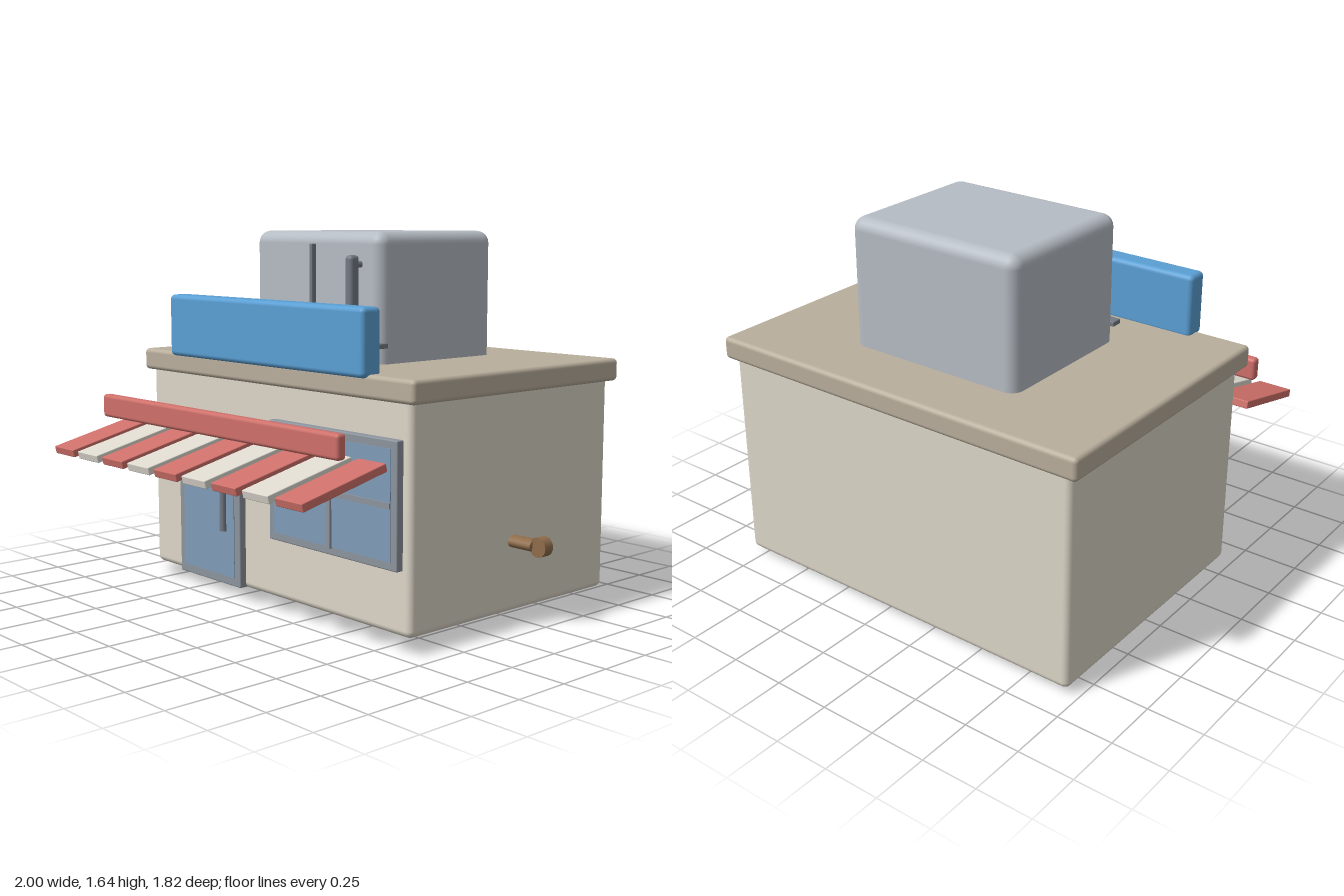
import * as THREE from 'three';
import { RoundedBoxGeometry } from 'three/addons/geometries/RoundedBoxGeometry.js';

const paint = (color) => new THREE.MeshStandardMaterial({ color });

export function createModel() {
  const model = new THREE.Group();
  const wall = paint(0xddd6c8), roofTan = paint(0xb9ae9c), steel = paint(0xb6bcc4);
  const blue = paint(0x5a9fd4), red = paint(0xcf706a), cream = paint(0xdedad0);
  const brown = paint(0x8f6d4c), darkSteel = paint(0x747a83), frame = paint(0x8d949e), glass = paint(0x7f9db8);

  const add = (name, geometry, material, x = 0, y = 0, z = 0, parent = model) => {
    const mesh = new THREE.Mesh(geometry, material);
    mesh.name = name;
    mesh.position.set(x, y, z);
    parent.add(mesh);
    return mesh;
  };

  // Box given by its limits on each axis, with optional rounded edges
  const box = (name, material, [x0, x1], [y0, y1], [z0, z1], radius = 0, parent = model) => {
    const size = [x1 - x0, y1 - y0, z1 - z0];
    const geometry = radius ? new RoundedBoxGeometry(...size, 4, radius) : new THREE.BoxGeometry(...size);
    return add(name, geometry, material, (x0 + x1) / 2, (y0 + y1) / 2, (z0 + z1) / 2, parent);
  };

  // Building and roof
  box('walls', wall, [-0.96, 0.81], [0.025, 1.02], [-0.88, 0.36], 0.03);
  box('roofSlab', roofTan, [-1, 0.845], [0.975, 1.075], [-0.91, 0.385], 0.02);
  box('signBoard', blue, [-0.745, 0.585], [1.06, 1.345], [0.308, 0.413], 0.022);

  // Cabinet rising through the roof, with its trim and handle
  const cabinet = new THREE.Group();
  cabinet.name = 'cabinet';
  model.add(cabinet);
  box('cabinetBody', steel, [-0.505, 0.345], [0.035, 1.64], [-0.62, 0.09], 0.055, cabinet);
  box('cabinetCrossTrim', darkSteel, [-0.52, 0.36], [1.145, 1.167], [0.055, 0.108], 0.004, cabinet);
  box('cabinetDoorSeam', darkSteel, [-0.09, -0.07], [1.05, 1.585], [0.08, 0.113], 0.004, cabinet);
  box('cabinetHandle', darkSteel, [0.2, 0.245], [1.24, 1.54], [0.112, 0.166], 0.018, cabinet);
  for (const y of [1.285, 1.5]) {
    const mount = add('handleMount', new THREE.CylinderGeometry(0.014, 0.014, 0.06, 16), darkSteel, 0.222, y, 0.1, cabinet);
    mount.rotation.x = Math.PI / 2;
  }

  // Door
  const door = new THREE.Group();
  door.name = 'door';
  model.add(door);
  box('doorFrame', frame, [-0.71, -0.25], [0.03, 0.78], [0.34, 0.393], 0.006, door);
  box('doorGlass', glass, [-0.67, -0.29], [0.07, 0.74], [0.36, 0.396], 0, door);
  add('doorHandle', new THREE.CylinderGeometry(0.017, 0.017, 0.27, 20), darkSteel, -0.363, 0.415, 0.4, door);

  // Window with crossed bars
  const shopWindow = new THREE.Group();
  shopWindow.name = 'window';
  model.add(shopWindow);
  box('windowFrame', frame, [-0.035, 0.765], [0.3, 0.83], [0.34, 0.394], 0.006, shopWindow);
  box('windowGlass', glass, [0, 0.73], [0.335, 0.795], [0.36, 0.397], 0, shopWindow);
  box('windowUpright', frame, [0.353, 0.378], [0.33, 0.8], [0.37, 0.406], 0, shopWindow);
  box('windowCrossbar', frame, [0, 0.73], [0.552, 0.577], [0.37, 0.403], 0, shopWindow);

  // Awning: a rail above nine sloping slats
  const awning = new THREE.Group();
  awning.name = 'awning';
  model.add(awning);
  box('awningRail', red, [-0.9, 0.745], [0.78, 0.885], [0.642, 0.69], 0.016, awning);
  const slat = new RoundedBoxGeometry(0.16, 0.035, 0.44, 2, 0.004);
  for (let i = 0; i < 9; i++) {
    const mesh = add('awningSlat', slat, i % 2 ? cream : red, -0.88 + i * 0.2, 0.69, 0.697, awning);
    mesh.rotation.x = 0.233;
  }

  // Side lever: flattened arm ending in a round knob
  const arm = add('leverArm', new THREE.CylinderGeometry(0.041, 0.041, 0.15, 24), brown, 0.855, 0.335, -0.26);
  arm.rotation.z = Math.PI / 2;
  arm.scale.x = 0.65;
  const knob = add('leverKnob', new THREE.CylinderGeometry(0.043, 0.043, 0.05, 24), brown, 0.957, 0.335, -0.262);
  knob.rotation.x = Math.PI / 2;

  // Two sets of round feet
  const feet = [
    { name: 'innerFoot', material: darkSteel, r: 0.044, xs: [-0.435, 0.275], zs: [-0.555, 0.03], y: 0.02 },
    { name: 'outerFoot', material: brown, r: 0.05, xs: [-0.63, 0.47], zs: [-0.575, 0.055], y: 0.03 },
  ];
  for (const { name, material, r, xs, zs, y } of feet)
    for (const x of xs)
      for (const z of zs) add(name, new THREE.CylinderGeometry(r, r, 0.04, 24), material, x, y, z);

  return model;
}
